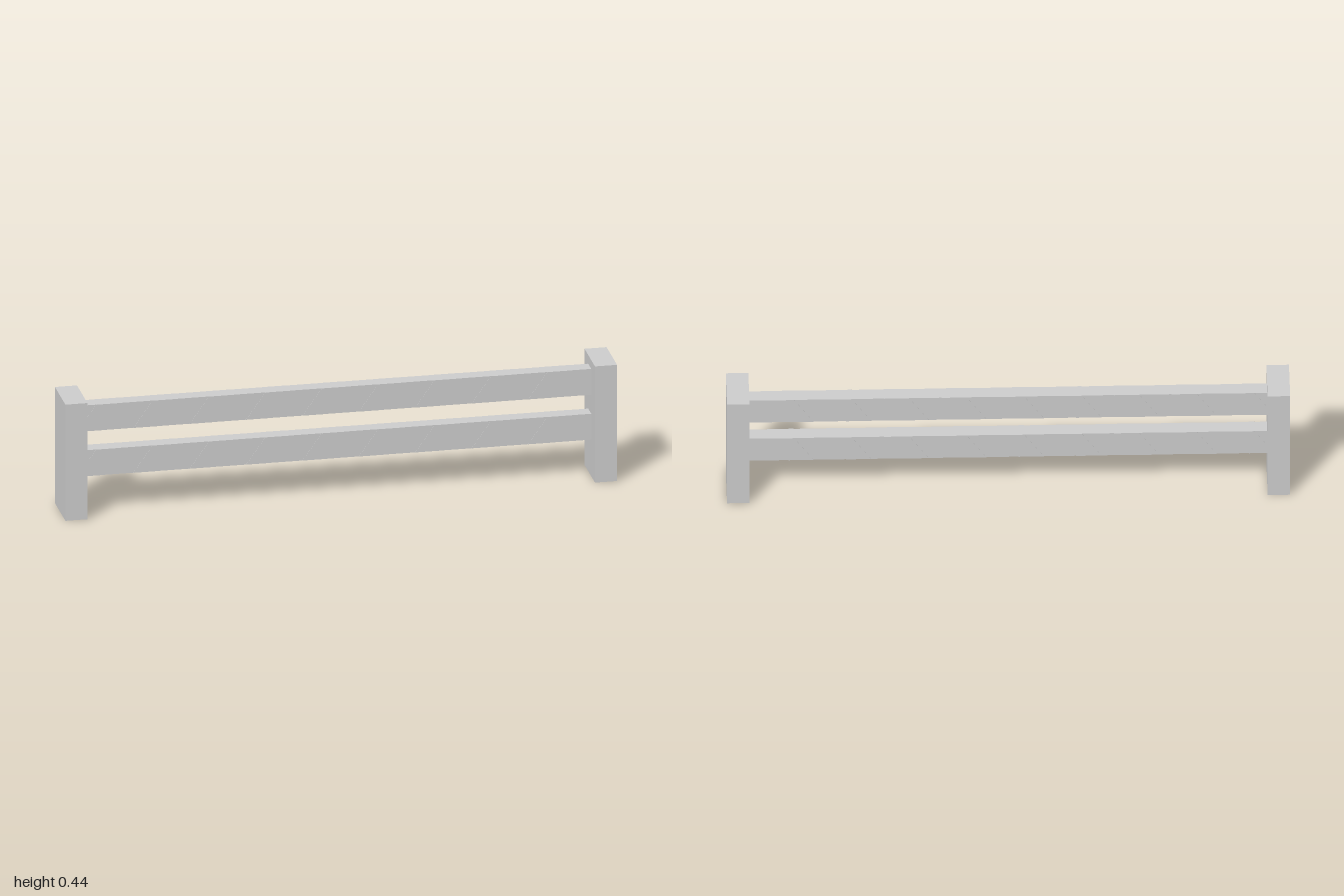
import * as THREE from 'three';

export function createModel() {
  const model = new THREE.Group();
  model.name = 'barrier';
  const material = new THREE.MeshStandardMaterial({ color: 0xcccccc, flatShading: true });

  const add = (parent, name, geometry, x, y, z) => {
    const mesh = new THREE.Mesh(geometry, material);
    mesh.name = name;
    mesh.position.set(x, y, z);
    parent.add(mesh);
  };

  // End posts
  const postW = 0.08, postH = 0.44, postD = 0.184;
  const postGeometry = new THREE.BoxGeometry(postW, postH, postD);
  for (const side of [1, -1]) {
    add(model, side > 0 ? 'leftPost' : 'rightPost', postGeometry, side * (1 - postW / 2), postH / 2, 0);
  }

  // Slanted stripe, clipped where it would run into a post
  const railL = 1.84, railH = 0.098, railD = 0.054;
  const half = railL / 2, count = 9, pitch = railL / count;
  const stripeW = 0.09, lean = 0.07, stripeT = 0.001;
  const stripeGeometry = (topX) => {
    const h = railH / 2, bottomX = topX - lean;
    const points = [[bottomX + stripeW, -h], [topX + stripeW, h], [topX, h]];
    if (bottomX < -half) {
      points.push([-half, h - railH * (topX + half) / lean], [-half, -h]);
    } else {
      points.push([bottomX, -h]);
    }
    const shape = new THREE.Shape(points.map(([x, y]) => new THREE.Vector2(x, y)));
    return new THREE.ExtrudeGeometry(shape, { depth: stripeT, bevelEnabled: false });
  };
  const stripes = Array.from({ length: count }, (_, i) => stripeGeometry(-half + 0.045 + i * pitch));

  // Two rails, striped on the front and the back
  const railGeometry = new THREE.BoxGeometry(railL, railH, railD);
  for (const [name, y] of [['lowerRail', 0.188], ['upperRail', 0.358]]) {
    const rail = new THREE.Group();
    rail.name = name;
    rail.position.y = y;
    add(rail, 'board', railGeometry, 0, 0, 0);
    for (const stripe of stripes) {
      add(rail, 'frontStripe', stripe, 0, 0, railD / 2);
      add(rail, 'backStripe', stripe, 0, 0, -railD / 2 - stripeT);
    }
    model.add(rail);
  }

  return model;
}
